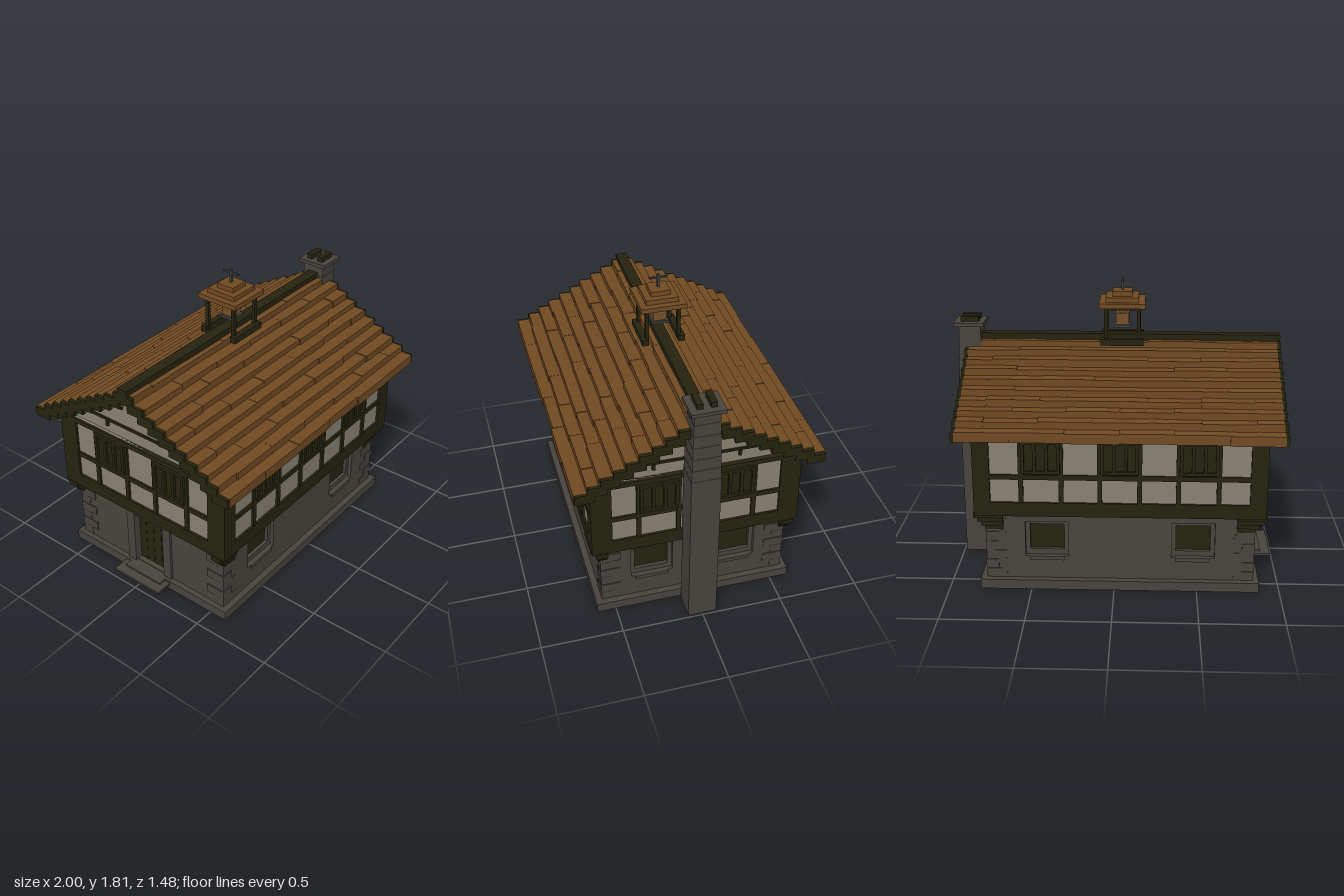
import * as THREE from 'three';

const mat = (name, color) => {
  const m = new THREE.MeshStandardMaterial({ color });
  m.name = name;
  return m;
};

export function createModel() {
  const root = new THREE.Group();
  root.name = 'timberHouse';
  const stone = mat('stone', 0x48433d);
  const timber = mat('dark timber', 0x25230f);
  const plaster = mat('plaster', 0x898273);
  const shingle = mat('roof shingle', 0x704a22);
  const brass = mat('bell metal', 0x74502a);
  const iron = mat('iron', 0x3f4043);

  let seed = 7;
  const jitter = (a) => {
    seed = (seed * 16807) % 2147483647;
    return (seed / 2147483647 - 0.5) * 2 * a;
  };
  const group = (name, parent = root) => {
    const g = new THREE.Group();
    g.name = name;
    parent.add(g);
    return g;
  };
  const add = (parent, name, geo, m) => {
    const mesh = new THREE.Mesh(geo, m);
    mesh.name = name;
    parent.add(mesh);
    return mesh;
  };
  // box given by its limits on each axis
  const box = (parent, name, m, x0, x1, y0, y1, z0, z1) => {
    const mesh = add(parent, name, new THREE.BoxGeometry(x1 - x0, y1 - y0, z1 - z0), m);
    mesh.position.set((x0 + x1) / 2, (y0 + y1) / 2, (z0 + z1) / 2);
    return mesh;
  };
  const CX = -0.035; // middle of the house body
  // the four walls: local x runs along the wall, local z points outward
  const sides = [
    { name: 'front', turn: 0, end: false },
    { name: 'back', turn: Math.PI, end: false },
    { name: 'right', turn: Math.PI / 2, end: true },
    { name: 'left', turn: -Math.PI / 2, end: true },
  ];
  const wallGroup = (name, side) => {
    const g = group(side.name + name);
    g.position.x = CX;
    g.rotation.y = side.turn;
    return g;
  };

  // foundation and entrance steps
  box(root, 'foundation', stone, -0.875, 0.81, 0, 0.06, -0.615, 0.615);
  box(root, 'upperStep', stone, -0.925, -0.86, 0.04, 0.06, -0.14, 0.14);
  box(root, 'lowerStep', stone, -0.985, -0.86, 0.035, 0.048, -0.18, 0.18);

  // ground floor: stone core, outer skin with openings
  box(root, 'stoneCore', stone, -0.785, 0.715, 0.06, 0.5, -0.52, 0.52);
  const rect = (P, x0, x1, y0, y1) => {
    const p = new P();
    p.moveTo(x0, y0).lineTo(x1, y0).lineTo(x1, y1).lineTo(x0, y1).closePath();
    return p;
  };
  const frame = (parent, name, outer, inner, depth, z) => {
    const shape = rect(THREE.Shape, ...outer);
    inner.forEach((h) => shape.holes.push(rect(THREE.Path, ...h)));
    const mesh = add(parent, name, new THREE.ExtrudeGeometry(shape, { depth, bevelEnabled: false }), stone);
    mesh.position.z = z;
  };
  for (const side of sides) {
    const g = wallGroup('StoneWall', side);
    const plane = side.end ? 0.805 : 0.575;
    const half = side.end ? 0.525 : 0.805;
    const hasDoor = side.name === 'left';
    const centres = hasDoor ? [] : side.end ? [-0.26, 0.26] : [-0.44, 0.44];
    const holes = centres.map((c) => [c - 0.13, c + 0.13, 0.205, 0.43]);
    if (hasDoor) holes.push([-0.12, 0.12, 0.065, 0.43]);
    frame(g, 'stoneSkin', [-half, half, 0.06, 0.5], holes, 0.055, plane - 0.055);
    for (const c of centres) {
      frame(g, 'windowReveal', [c - 0.13, c + 0.13, 0.205, 0.43],
        [[c - 0.103, c + 0.103, 0.24, 0.405]], 0.03, plane - 0.055);
      box(g, 'windowPane', timber, c - 0.11, c + 0.11, 0.23, 0.415, plane - 0.056, plane - 0.047);
      box(g, 'windowSill', stone, c - 0.103, c + 0.103, 0.18, 0.205, plane - 0.02, plane + 0.008);
    }
    if (hasDoor) {
      for (let i = 0; i < 4; i++) {
        box(g, 'doorPlank', timber, -0.12 + i * 0.06, -0.062 + i * 0.06, 0.06, 0.43, plane - 0.06, plane - 0.035);
      }
      for (const s of [-1, 1]) {
        box(g, 'doorJamb', stone, s * 0.145 - 0.03, s * 0.145 + 0.03, 0.06, 0.46, plane - 0.05, plane + 0.015);
      }
      box(g, 'doorLintel', stone, -0.175, 0.175, 0.43, 0.47, plane - 0.05, plane + 0.015);
    }
  }
  // corner stones and stepped brackets carrying the overhang
  for (const sx of [-1, 1]) for (const sz of [-1, 1]) {
    const corner = group('houseCorner');
    const span = (name, m, xi, xo, y0, y1, zi, zo) => box(corner, name, m,
      Math.min(sx * xi, sx * xo) + CX, Math.max(sx * xi, sx * xo) + CX, y0, y1,
      Math.min(sz * zi, sz * zo), Math.max(sz * zi, sz * zo));
    for (let i = 0; i < 7; i++) {
      const odd = i % 2;
      span('quoin', stone, 0.805 - (odd ? 0.07 : 0.12), 0.808 + odd * 0.003,
        0.062 + i * 0.061, 0.119 + i * 0.061, 0.575 - (odd ? 0.12 : 0.07), 0.578 + odd * 0.003);
    }
    for (let i = 0; i < 4; i++) {
      span('cornerBracket', timber, 0.7, 0.875 - i * 0.022, 0.465 - i * 0.028, 0.495 - i * 0.028,
        0.54, 0.612 - i * 0.009);
    }
  }

  // upper floor: plaster body with a timber frame on each side
  box(root, 'plasterBody', plaster, -0.885, 0.815, 0.5, 1.0, -0.62, 0.62);
  for (const side of sides) {
    const g = wallGroup('TimberFrame', side);
    const plane = side.end ? 0.865 : 0.635;
    const half = side.end ? 0.635 : 0.865;
    const back = plane - 0.05;
    const posts = side.end ? [-0.35, -0.11, 0.11, 0.35] : [-0.582, -0.345, -0.117, 0.117, 0.345, 0.582];
    const windows = side.end ? [[-0.35, -0.11], [0.11, 0.35]] : [[-0.582, -0.345], [-0.117, 0.117], [0.345, 0.582]];
    const cw = side.end ? 0.125 : 0.1;
    box(g, 'sillBeam', timber, -half, half, 0.49, 0.577, back, plane);
    box(g, 'middleRail', timber, -half, half, 0.722, 0.752, back, plane - 0.003);
    box(g, 'topBeam', timber, -half, half, 0.97, 1.0, back, plane);
    for (const s of [-1, 1]) {
      box(g, 'cornerPost', timber, s > 0 ? half - cw : -half, s > 0 ? half : cw - half, 0.49, 1.0, back, plane);
    }
    for (const p of posts) box(g, 'framePost', timber, p - 0.014, p + 0.014, 0.55, 0.98, back, plane - 0.002);
    for (const [a, b] of windows) {
      box(g, 'windowPanel', timber, a, b, 0.755, 0.97, back, plane - 0.004);
      for (let i = 0; i < 4; i++) {
        const u = a + 0.014 + ((b - a - 0.028) * i) / 3;
        box(g, 'windowBar', timber, u - 0.01, u + 0.01, 0.765, 0.965, back, plane + 0.013);
      }
      for (const y of [0.765, 0.947]) {
        box(g, 'windowRail', timber, a + 0.004, b - 0.004, y, y + 0.018, back, plane + 0.013);
      }
    }
    if (!side.end) continue;
    // gable beams and short struts
    box(g, 'lowerGableBeam', timber, -0.48, 0.48, 1.08, 1.096, back, plane - 0.02);
    box(g, 'upperGableBeam', timber, -0.18, 0.18, 1.245, 1.262, back, plane - 0.02);
    for (const s of [-1, 1]) {
      box(g, 'gableStrut', timber, s * 0.257 - 0.009, s * 0.257 + 0.009, 1.045, 1.085, back, plane - 0.015);
      box(g, 'gableStrut', timber, s * 0.135 - 0.008, s * 0.135 + 0.008, 1.21, 1.25, back, plane - 0.015);
    }
  }
  // gable prism closing the attic
  const tri = new THREE.Shape();
  tri.moveTo(-0.655, 0.995).lineTo(0.655, 0.995).lineTo(0, 1.375).closePath();
  const gable = add(root, 'gable', new THREE.ExtrudeGeometry(tri, { depth: 1.67, bevelEnabled: false }), plaster);
  gable.rotation.y = Math.PI / 2;
  gable.position.x = -0.87;

  // roof: stepped courses of staggered shingles with stepped end boards
  const roof = group('roof');
  const X0 = -0.98, X1 = 0.91, TW = 0.315;
  for (const s of [-1, 1]) for (let i = 0; i < 10; i++) {
    const outer = 0.738 - i * 0.074, inner = Math.max(outer - 0.115, 0);
    const top = 1.05 + i * 0.041;
    const put = (name, m, a, b, o, y0, y1) =>
      box(roof, name, m, a, b, y0, y1, s > 0 ? inner : -o, s > 0 ? o : -inner);
    for (let x = X0 - (i % 2) * TW / 2; x < X1 - 0.01; x += TW) {
      const dy = jitter(0.004);
      put('shingle', shingle, Math.max(x, X0), Math.min(x + TW, X1), outer + jitter(0.005), top - 0.06 + dy, top + dy);
    }
    put('endBoard', timber, -1.0, X0 + 0.001, outer - 0.002, top - 0.062, top - 0.003);
    put('endBoard', timber, X1 - 0.001, 0.93, outer - 0.002, top - 0.062, top - 0.003);
  }
  box(roof, 'ridgeBeam', timber, -1.0, 0.86, 1.4, 1.455, -0.035, 0.035);

  // chimney: straight stack, tapered neck, cap and two flues
  const chimney = group('chimney');
  box(chimney, 'chimneyStack', stone, 0.825, 0.985, 0, 1.05, -0.088, 0.088);
  for (let i = 0; i < 6; i++) {
    const t = i * 0.0022;
    box(chimney, 'chimneyNeck', stone, 0.827 + t, 0.983 - t, 1.05 + i * 0.077, 1.127 + i * 0.077, -0.086 + t, 0.086 - t);
  }
  box(chimney, 'chimneyCap', stone, 0.815, 1.0, 1.507, 1.53, -0.1, 0.1);
  for (const z of [-0.04, 0.04]) box(chimney, 'flue', timber, 0.85, 0.96, 1.53, 1.562, z - 0.018, z + 0.018);

  // bell turret on the ridge
  const turret = group('bellTurret');
  turret.position.x = -0.033;
  for (const s of [-1, 1]) {
    box(turret, 'turretBase', timber, -0.13, 0.13, 1.405, 1.445, s * 0.112 - 0.02, s * 0.112 + 0.02);
    for (const u of [-0.1, 0.1]) {
      box(turret, 'turretPost', timber, u - 0.011, u + 0.011, 1.42, 1.64, s * 0.098 - 0.011, s * 0.098 + 0.011);
    }
    box(turret, 'turretBeam', timber, -0.1, 0.1, 1.62, 1.64, s * 0.098 - 0.01, s * 0.098 + 0.01);
  }
  [0.14, 0.1, 0.06].forEach((h, i) =>
    box(turret, 'turretRoof', shingle, -h, h, 1.635 + i * 0.03, 1.665 + i * 0.03, -h, h));
  box(turret, 'bellHanger', iron, -0.006, 0.006, 1.6, 1.64, -0.006, 0.006);
  box(turret, 'bellCrown', brass, -0.022, 0.022, 1.583, 1.604, -0.022, 0.022);
  box(turret, 'bellBody', brass, -0.04, 0.04, 1.515, 1.585, -0.04, 0.04);
  box(turret, 'bellRim', iron, -0.053, 0.053, 1.5, 1.516, -0.053, 0.053);
  box(turret, 'finialPole', iron, -0.007, 0.007, 1.725, 1.81, -0.007, 0.007);
  box(turret, 'finialBar', iron, -0.005, 0.005, 1.782, 1.793, -0.057, 0.057);
  return root;
}
